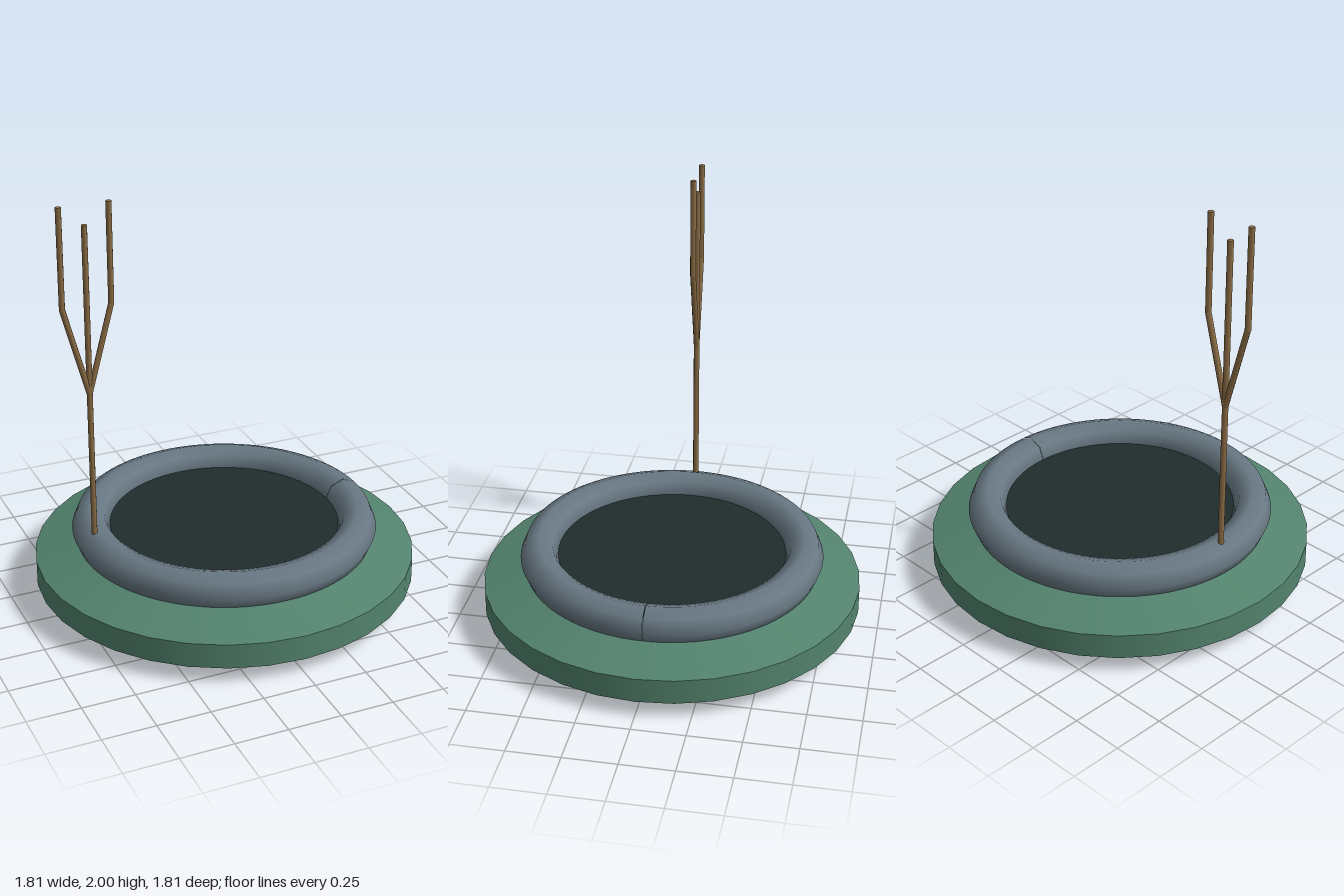
import * as THREE from 'three';

const paint = (name, color) => {
  const m = new THREE.MeshStandardMaterial({ color });
  m.name = name;
  return m;
};

export function createModel() {
  const green = paint('green', 0x53836e);
  const slate = paint('slate', 0x687883);
  const dark = paint('dark', 0x202c2c);
  const brown = paint('brown', 0x8b6d45);

  const model = new THREE.Group();
  model.name = 'ringedBaseWithFork';
  const add = (name, geometry, material, x = 0, y = 0, parent = model) => {
    const mesh = new THREE.Mesh(geometry, material);
    mesh.name = name;
    mesh.position.set(x, y, 0);
    parent.add(mesh);
    return mesh;
  };

  // Base: bevelled bottom, straight rim, sloping top
  const tier = (name, rTop, rBottom, y0, y1) =>
    add(name, new THREE.CylinderGeometry(rTop, rBottom, y1 - y0, 32), green, 0, (y0 + y1) / 2);
  tier('baseBottom', 0.905, 0.635, 0, 0.08);
  tier('baseRim', 0.905, 0.905, 0.08, 0.2);
  tier('baseTop', 0.635, 0.905, 0.2, 0.29);

  // Rounded ring with the dark disc inside it
  add('ring', new THREE.TorusGeometry(0.635, 0.09, 8, 96, 6.28).rotateX(-Math.PI / 2), slate, 0, 0.32);
  add('innerDisc', new THREE.CylinderGeometry(0.546, 0.546, 0.05, 64), dark, 0, 0.3);

  // Forked stem standing on the ring
  const fork = new THREE.Group();
  fork.name = 'fork';
  fork.position.x = -0.655;
  model.add(fork);
  const rod = (name, x0, y0, x1, y1) => {
    const length = Math.hypot(x1 - x0, y1 - y0);
    const mesh = add(name, new THREE.CylinderGeometry(0.014, 0.014, length, 8), brown,
      (x0 + x1) / 2, (y0 + y1) / 2, fork);
    mesh.rotation.z = -Math.atan2(x1 - x0, y1 - y0);
  };
  rod('stem', 0, 0.39, 0, 1.905);
  for (const [side, s] of [['left', 1], ['right', -1]]) {
    rod(side + 'Branch', 0, 1.11, s * 0.114, 1.53);
    rod(side + 'Prong', s * 0.114, 1.525, s * 0.114, 2);
  }
  return model;
}
